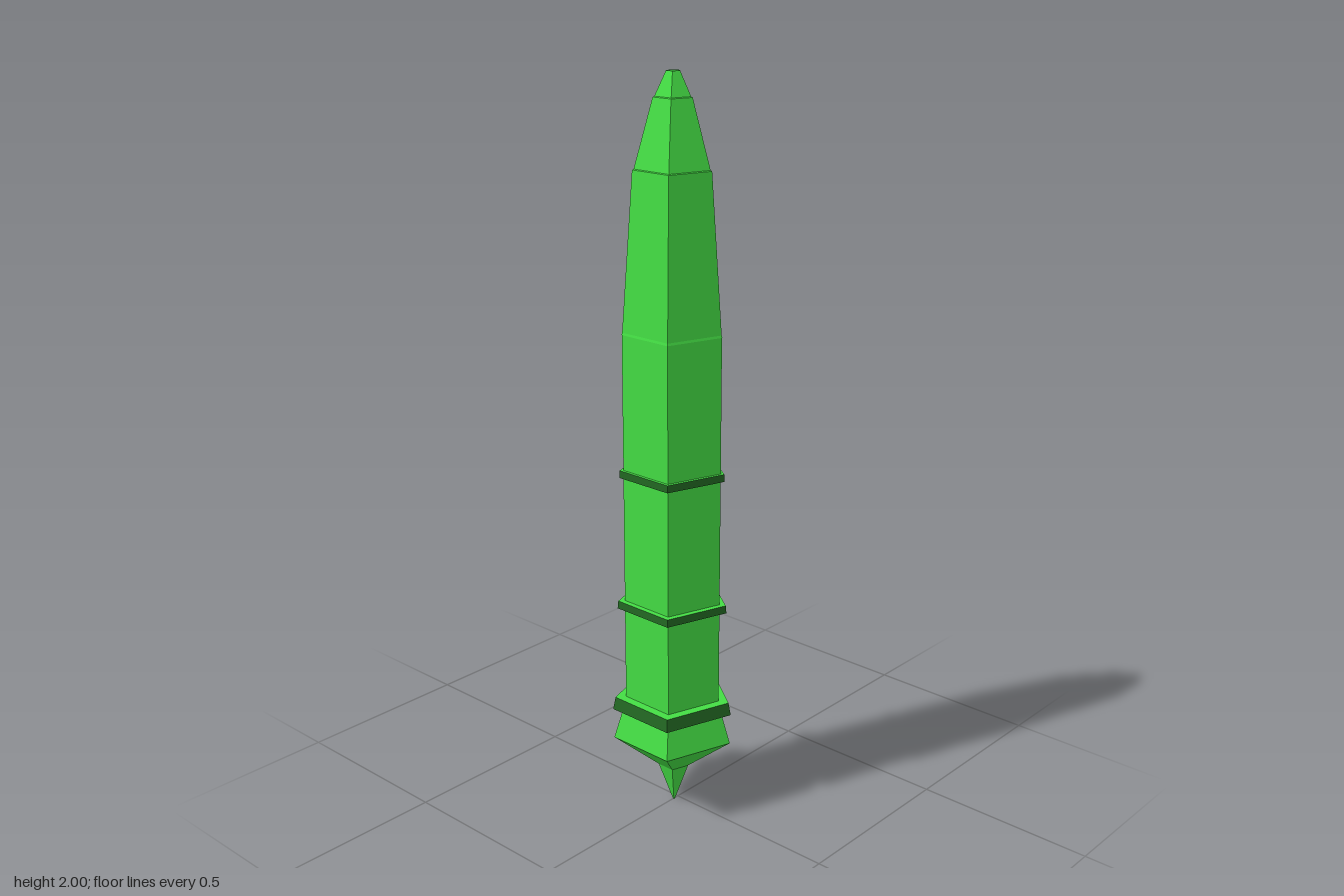
import * as THREE from 'three';

const SIDES = 5;
const green = new THREE.MeshStandardMaterial({ color: 0x44dd44, flatShading: true, side: THREE.DoubleSide });
const darkGreen = new THREE.MeshStandardMaterial({ color: 0x226622, flatShading: true, side: THREE.DoubleSide });

// Five-sided shell from [radius, height] pairs listed upward, one corner to the back
function shell(name, profile, material = green) {
  const points = profile.map(([r, y]) => new THREE.Vector2(r, y));
  const mesh = new THREE.Mesh(new THREE.LatheGeometry(points, SIDES, Math.PI), material);
  mesh.name = name;
  return mesh;
}

// Raised band: dark outer face, green upper and lower faces
function band(name, y0, y1, rBottom, rTop) {
  const group = new THREE.Group();
  group.name = name;
  const inner = 0.132;
  group.add(
    shell(name + 'Face', [[rBottom, y0], [rTop, y1]], darkGreen),
    shell(name + 'Top', [[rTop, y1], [inner, y1]]),
    shell(name + 'Underside', [[inner, y0], [rBottom, y0]])
  );
  return group;
}

export function createModel() {
  const model = new THREE.Group();
  model.name = 'pointedColumn';

  // Pointed foot
  model.add(shell('foot', [[0.003, 0], [0.043, 0.115], [0.167, 0.213], [0.139, 0.305]]));

  // Straight body
  model.add(shell('body', [[0.133, 0.3], [0.133, 1.355]]));

  // Tapered nose with fine ledges between its sections, open at the tip
  model.add(shell('nose', [
    [0.134, 1.352], [0.132, 1.358],
    [0.103, 1.765], [0.099, 1.767],
    [0.051, 1.938], [0.047, 1.94],
    [0.018, 2.0],
  ]));

  // Bands, from the bottom up
  model.add(band('baseBand', 0.3, 0.335, 0.169, 0.162));
  model.add(band('lowerBand', 0.6, 0.621, 0.153, 0.151));
  model.add(band('upperBand', 0.97, 0.99, 0.144, 0.143));

  // Centre the pentagon's depth on z = 0
  model.children.forEach((part) => { part.position.z = 0.016; });
  return model;
}
